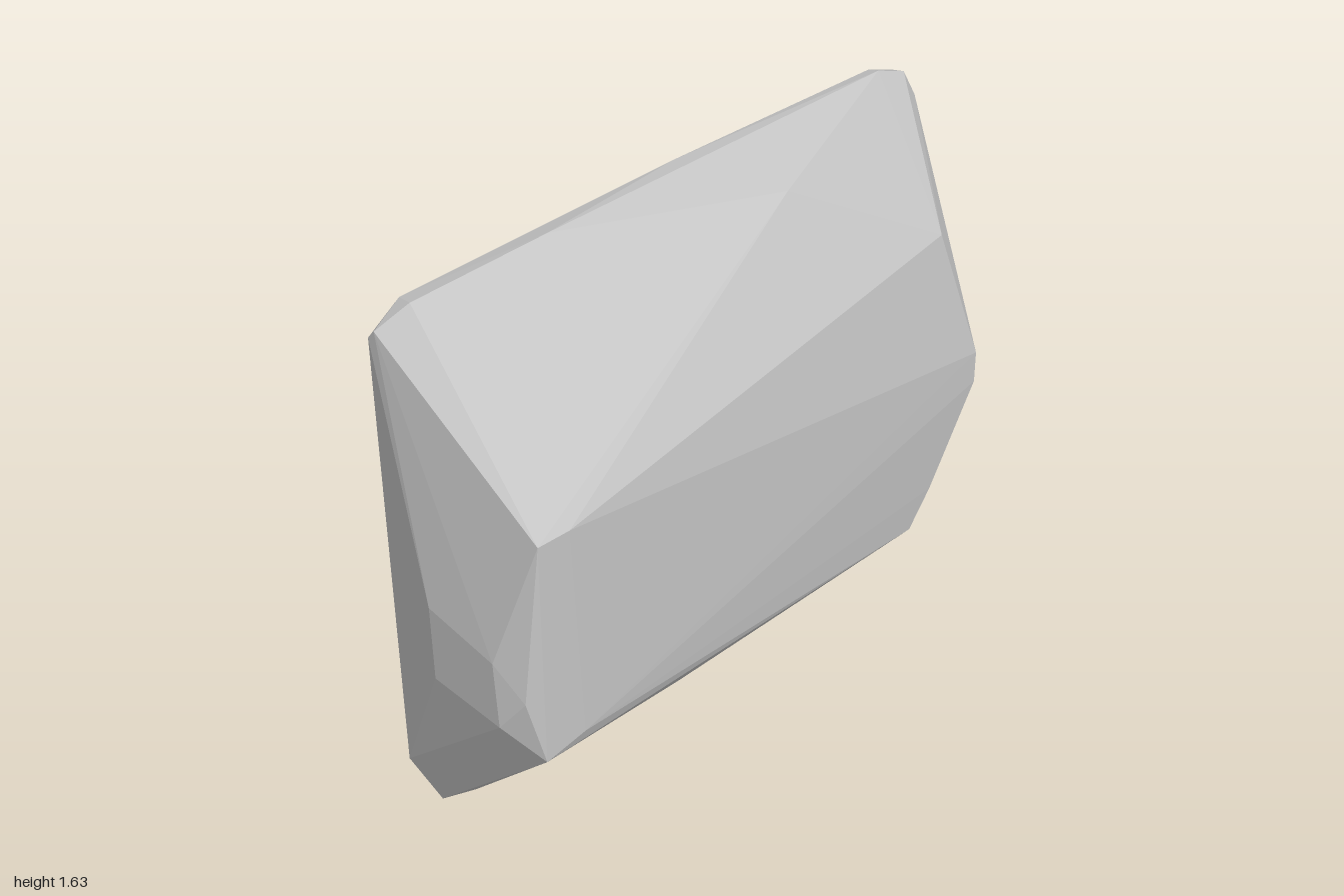
import * as THREE from 'three';
import { ConvexGeometry } from 'three/addons/geometries/ConvexGeometry.js';

export function createModel() {
  const group = new THREE.Group();
  group.name = 'rock';
  const stone = new THREE.MeshStandardMaterial({ color: 0xc4c4c4 });
  stone.name = 'stone grey';

  // Flat middle of the back (x, y), all at one depth
  const back = [
    [-0.87, 1.5], [-0.75, 1.57], [0.1, 1.615], [0.985, 1.37], [0.985, 0.3],
    [0.75, 0.08], [-0.6, 0.07], [-0.87, 0.2],
  ].map(([x, y]) => [x, y, -0.316]);

  // Slightly receding outline of the back
  const backEdge = [
    [-0.9, 1.54], [-0.8, 1.61], [0.1, 1.628], [0.83, 1.62], [0.925, 1.585], [0.98, 1.48],
    [0.995, 1.36], [0.995, 0.25], [0.96, 0.06], [0.35, 0.02], [-0.55, 0.015],
    [-0.85, 0.04], [-0.91, 0.17],
  ].map(([x, y]) => [x, y, -0.306]);

  // Worn rim just ahead of the back
  const rim = [
    [-0.9, 1.57, -0.28], [-0.81, 1.625, -0.25], [-0.38, 1.635, -0.25], [0.83, 1.63, -0.27],
    [0.935, 1.59, -0.27], [0.985, 1.5, -0.27], [1, 1.2, -0.303], [1, 0.3, -0.303], [0.96, 0.05, -0.24],
    [0.35, 0.01, -0.23], [-0.55, 0, -0.25], [-0.76, 0.012, -0.22], [-0.86, 0.03, -0.24],
  ];

  // Chipped front face, thick on one end and thin on the other
  const front = [
    [-0.92, 1.27, 0.32], [-0.82, 1.265, 0.317], [-0.93, 0.6, 0.32], [-0.8, 0.62, 0.317],
    [-0.97, 0.8, 0.3], [0.78, 1.26, 0.035], [0.91, 0.83, 0.08], [0.91, 0.73, 0.08],
    [0.74, 0.43, 0.08], [0.66, 0.32, 0.08], [-0.26, 0.29, 0.07], [0.28, 1.56, -0.07],
  ];

  // Bulge of the thick end
  const end = [[-1, 0.93, -0.02], [-1, 0.7, -0.02], [-1, 0.7, 0.23], [-1, 0.9, 0.22]];

  const points = [...back, ...backEdge, ...rim, ...front, ...end].map((p) => new THREE.Vector3(...p));
  const body = new THREE.Mesh(new ConvexGeometry(points), stone);
  body.name = 'rockBody';
  group.add(body);
  return group;
}
